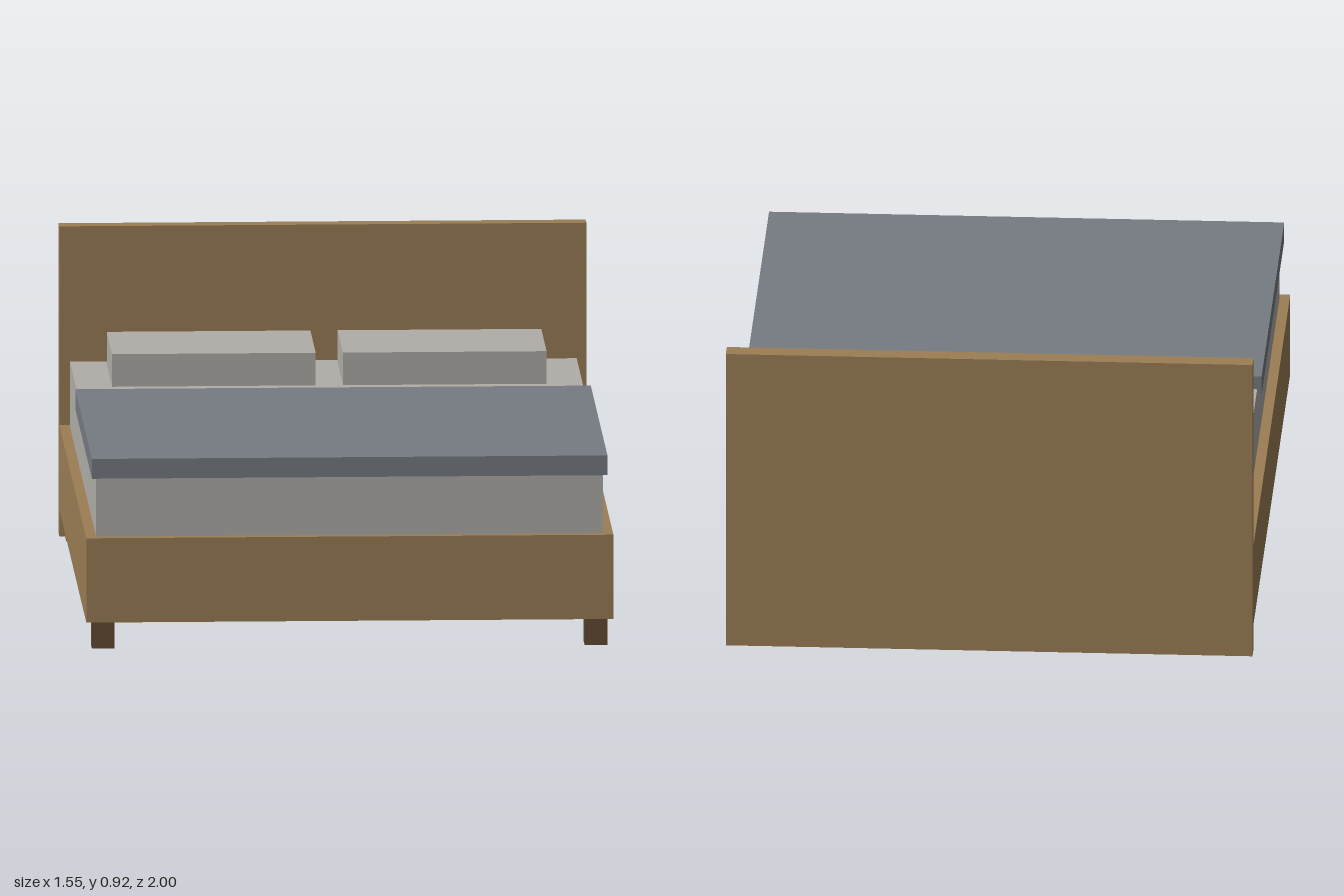
import * as THREE from 'three';

const flat = (name, color) => {
  const m = new THREE.MeshStandardMaterial({ color });
  m.name = name;
  return m;
};

export function createModel() {
  const wood = flat('wood', 0x9b7e55);
  const darkWood = flat('darkWood', 0x644a34);
  const linen = flat('linen', 0xb1aea9);
  const blanketGrey = flat('blanketGrey', 0x767c83);

  const bed = new THREE.Group();
  bed.name = 'bed';

  // Box given by its extents along each axis
  const box = (name, material, [x0, x1], [y0, y1], [z0, z1]) => {
    const mesh = new THREE.Mesh(new THREE.BoxGeometry(x1 - x0, y1 - y0, z1 - z0), material);
    mesh.position.set((x0 + x1) / 2, (y0 + y1) / 2, (z0 + z1) / 2);
    mesh.name = name;
    bed.add(mesh);
  };

  // Frame
  box('headboard', wood, [-0.774, 0.774], [0, 0.923], [-1, -0.945]);
  box('bedBase', wood, [-0.774, 0.774], [0.08, 0.331], [-0.945, 1]);

  // Bedding
  box('mattress', linen, [-0.744, 0.744], [0.331, 0.525], [-0.915, 0.972]);
  box('blanket', blanketGrey, [-0.757, 0.757], [0.506, 0.565], [-0.213, 0.987]);

  // Mirrored pillows and legs
  for (const [side, s] of [['left', 1], ['right', -1]]) {
    const span = (a, b) => (s > 0 ? [a, b] : [-b, -a]);
    box(side + 'Pillow', linen, span(0.04, 0.638), [0.525, 0.622], [-0.864, -0.48]);
    box(side + 'FrontLeg', darkWood, span(0.69, 0.757), [0, 0.08], [0.915, 0.983]);
    box(side + 'BackLeg', darkWood, span(0.69, 0.757), [0, 0.08], [-0.922, -0.855]);
  }
  return bed;
}
